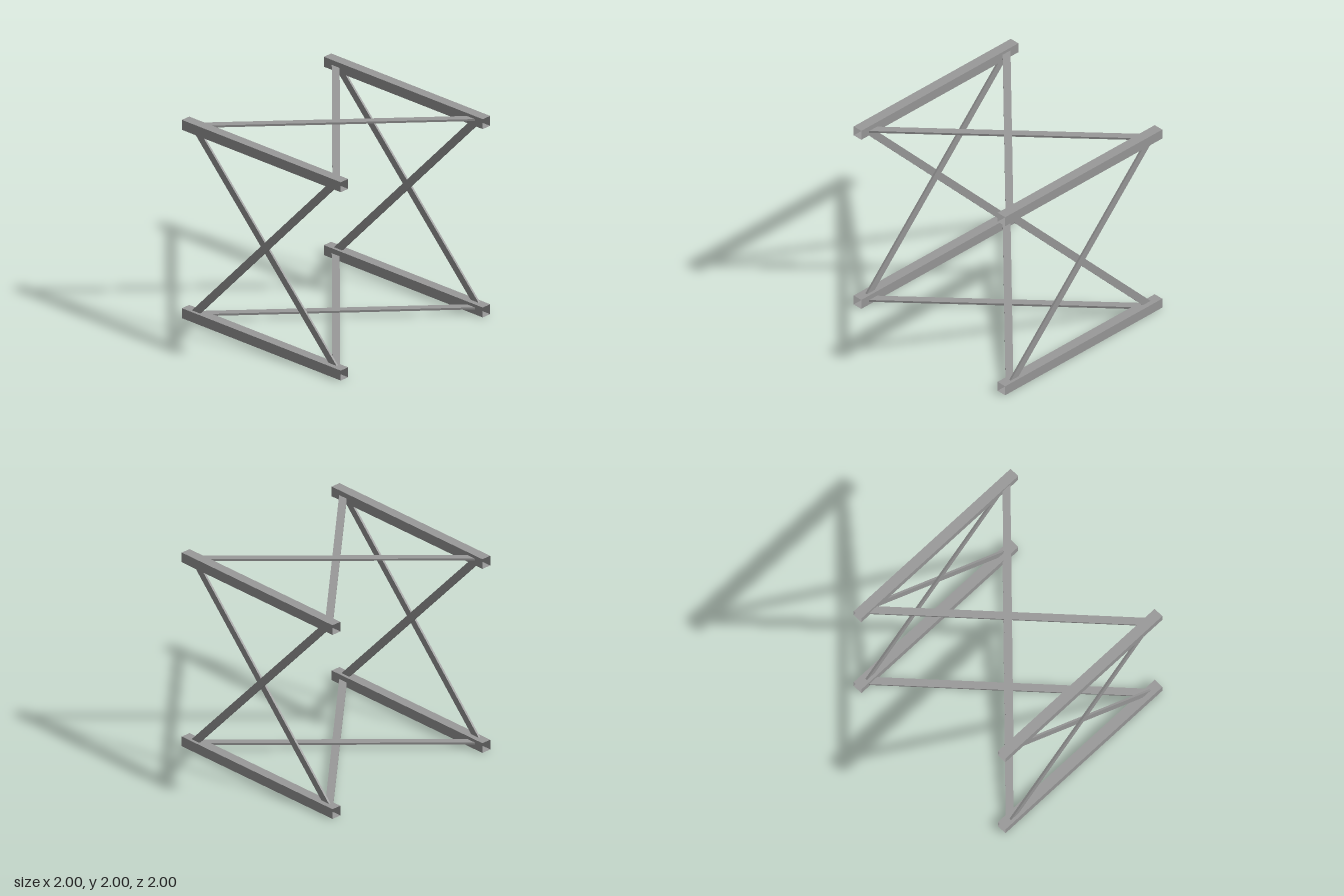
import * as THREE from 'three';

const material = new THREE.MeshStandardMaterial({ color: 0x999999, flatShading: true, side: THREE.DoubleSide });
const BEAM = 0.1;      // beam width
const LAYER = 0.02;    // brace thickness
const INNER = 0.9;     // half distance between facing beam walls

// Flat diagonal bar with ends cut flush to the beams; sign picks the diagonal and its layer
function brace(sign) {
  const outline = [[-0.9, -INNER], [-0.8, -INNER], [0.9, INNER], [0.8, INNER]];
  const shape = new THREE.Shape(outline.map(([u, v]) => new THREE.Vector2(sign * u, v)));
  const geometry = new THREE.ExtrudeGeometry(shape, { depth: LAYER, bevelEnabled: false });
  geometry.translate(0, 0, sign > 0 ? 0 : -LAYER);
  const mesh = new THREE.Mesh(geometry, material);
  mesh.name = sign > 0 ? 'risingBrace' : 'fallingBrace';
  return mesh;
}

// Two crossing bars lying side by side
function crossBrace(name, xAxis, yAxis, zAxis, position) {
  const cross = new THREE.Group();
  cross.name = name;
  cross.add(brace(1), brace(-1));
  cross.quaternion.setFromRotationMatrix(new THREE.Matrix4().makeBasis(xAxis, yAxis, zAxis));
  cross.position.copy(position);
  return cross;
}

export function createModel() {
  const model = new THREE.Group();
  model.name = 'crossBracedFrame';
  const X = new THREE.Vector3(1, 0, 0);
  const Y = new THREE.Vector3(0, 1, 0);
  const Z = new THREE.Vector3(0, 0, 1);
  const centre = 1 - BEAM / 2;

  // Four hollow square beams, open at both ends
  const tube = new THREE.CylinderGeometry(BEAM / Math.SQRT2, BEAM / Math.SQRT2, 2, 4, 1, true);
  tube.rotateY(Math.PI / 4).rotateX(Math.PI / 2);
  for (const side of [-1, 1]) {
    for (const level of [-1, 1]) {
      const beam = new THREE.Mesh(tube, material);
      beam.name = (level > 0 ? 'top' : 'bottom') + (side > 0 ? 'Left' : 'Right') + 'Beam';
      beam.position.set(side * centre, 1 + level * centre, 0);
      model.add(beam);
    }
  }

  // Crossed bars on the two sides, the top and the bottom
  for (const s of [-1, 1]) {
    model.add(crossBrace(s > 0 ? 'leftCrossBrace' : 'rightCrossBrace',
      Z, Y, X.clone().negate(), new THREE.Vector3(s * centre, 1, 0)));
    model.add(crossBrace(s > 0 ? 'topCrossBrace' : 'bottomCrossBrace',
      Z, X, Y, new THREE.Vector3(0, 1 + s * centre, 0)));
  }
  return model;
}
